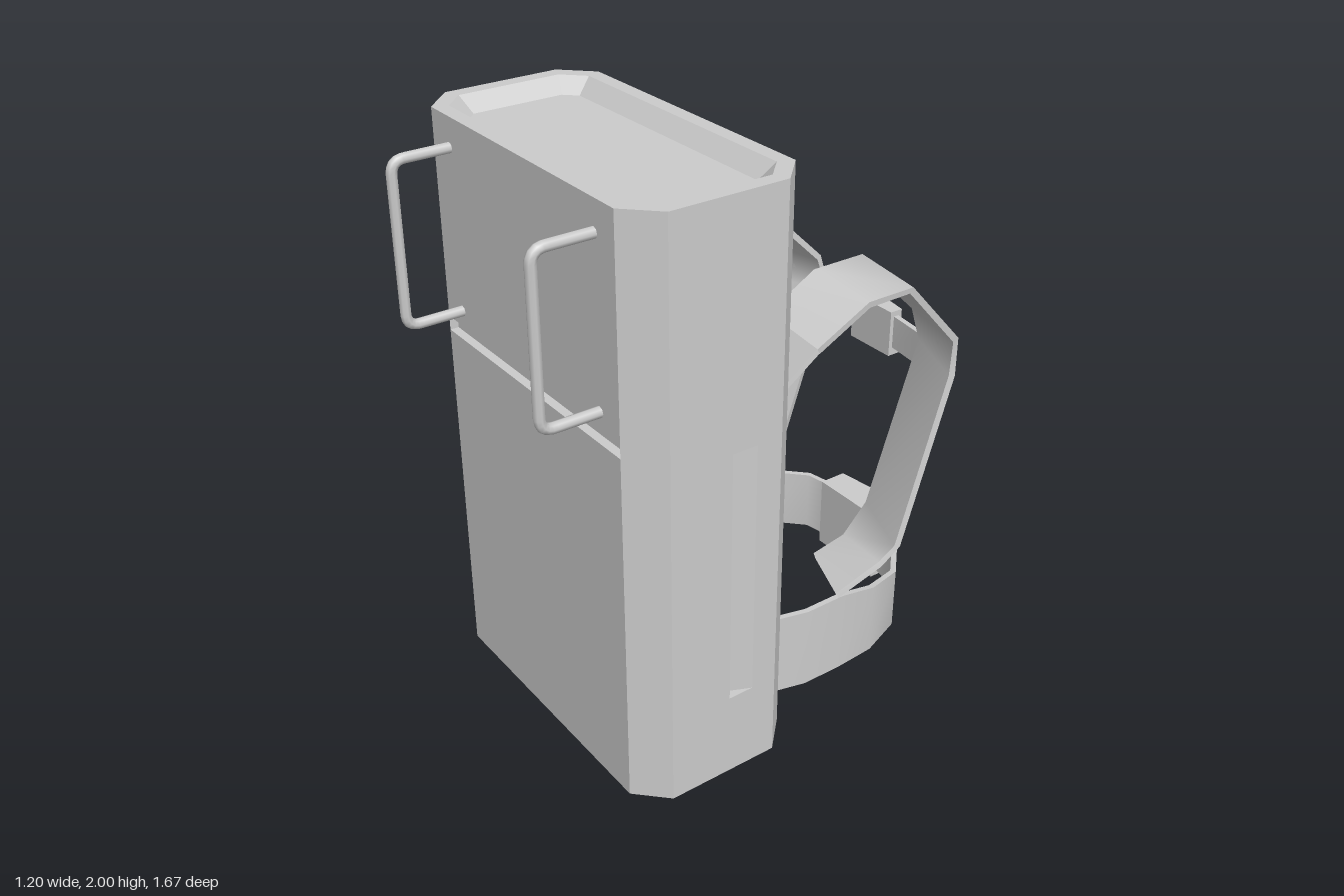
import * as THREE from 'three';

const V = (x, y, z) => new THREE.Vector3(x, y, z);
const grey = new THREE.MeshStandardMaterial({ color: 0xcccccc });
const cloth = new THREE.MeshStandardMaterial({ color: 0xcccccc, side: THREE.DoubleSide });

function named(name, geometry, material = grey) {
  const mesh = new THREE.Mesh(geometry, material);
  mesh.name = name;
  return mesh;
}

// Flat-faced geometry from a list of four-cornered faces
function fromQuads(quads) {
  const points = quads.flatMap(([a, b, c, d]) => [a, b, c, a, c, d]);
  const geometry = new THREE.BufferGeometry().setFromPoints(points);
  geometry.computeVertexNormals();
  return geometry;
}

// Octagonal outline of the case, drawn in by an even inset
function octagon(inset, y) {
  const x = 0.6 - inset, back = 0.02 + inset, front = 0.62 - inset;
  const c = 0.1 - inset * 0.586;
  return [[x, front - c], [x, back + c], [x - c, back], [c - x, back],
    [-x, back + c], [-x, front - c], [c - x, front], [x - c, front]].map(([px, pz]) => V(px, y, pz));
}

const band = (a, b) => a.map((p, i) => [p, a[(i + 1) % 8], b[(i + 1) % 8], b[i]]);
const cap = (r) => [[0, 1, 2, 3], [0, 3, 4, 7], [4, 5, 6, 7]].map((f) => f.map((i) => r[i]));

// Upright panel with a rectangular hollow; d0 and d1 are its depths at u0 and u1
function hollowPanel([a, b, , d], u0, u1, v0, v1, d0, d1) {
  const u = b.clone().sub(a), w = u.length();
  u.normalize();
  const inward = V(0, 1, 0).cross(u);
  const at = (s, t, depth = 0) => a.clone().addScaledVector(u, s).addScaledVector(inward, depth).setY(t);
  const us = [0, u0, u1, w], vs = [a.y, v0, v1, d.y], quads = [];
  for (let i = 0; i < 3; i++) for (let j = 0; j < 3; j++) {
    if ((i === 1 && j === 1) || us[i + 1] - us[i] < 1e-4) continue;
    quads.push([at(us[i], vs[j]), at(us[i + 1], vs[j]), at(us[i + 1], vs[j + 1]), at(us[i], vs[j + 1])]);
  }
  const rim = [at(u0, v0), at(u1, v0), at(u1, v1), at(u0, v1)];
  const floor = [at(u0, v0, d0), at(u1, v0, d1), at(u1, v1, d1), at(u0, v1, d0)];
  quads.push(floor);
  rim.forEach((p, i) => quads.push([p, rim[(i + 1) % 4], floor[(i + 1) % 4], floor[i]]));
  return quads;
}

function caseGeometry() {
  const rings = [octagon(0.1, 0.07), octagon(0.05, 0), octagon(0, 0),
    octagon(0, 2), octagon(0.05, 2), octagon(0.1, 1.95)];
  const walls = band(rings[2], rings[3]);
  return fromQuads([
    ...cap(rings[0]).map((q) => q.reverse()),
    ...[0, 1, 3, 4].flatMap((i) => band(rings[i], rings[i + 1])),
    ...cap(rings[5]),
    ...[1, 2, 3, 5, 7].map((i) => walls[i]),
    // Side grip slots and the front seam
    ...hollowPanel(walls[0], 0.22, 0.31, 0.3, 1.2, 0.04, 0),
    ...hollowPanel(walls[4], 0.09, 0.18, 0.3, 1.2, 0, 0.04),
    ...hollowPanel(walls[6], 0, 1, 1.25, 1.3, 0.03, 0.03),
  ]);
}

function padGeometry() {
  const rect = (x, y0, y1, z) => [V(x, y0, z), V(-x, y0, z), V(-x, y1, z), V(x, y1, z)];
  const base = rect(0.46, 0.05, 1.25, 0.02), face = rect(0.41, 0.1, 1.2, -0.03);
  return fromQuads([face, ...base.map((p, i) => [p, base[(i + 1) % 4], face[(i + 1) % 4], face[i]])]);
}

// Webbing between two edge lines, with a thickness and crisp edges
function webbing(name, A, B, thickness) {
  const group = new THREE.Group();
  group.name = name;
  const mid = A.map((p, i) => p.clone().lerp(B[i], 0.5));
  const offsets = A.map((p, i) => {
    const along = mid[Math.min(i + 1, mid.length - 1)].clone().sub(mid[Math.max(i - 1, 0)]);
    return along.cross(B[i].clone().sub(p)).normalize().multiplyScalar(thickness);
  });
  const A2 = A.map((p, i) => p.clone().add(offsets[i]));
  const B2 = B.map((p, i) => p.clone().add(offsets[i]));
  const strips = [[A, B], [B, B2], [B2, A2], [A2, A]];
  strips.forEach(([l, r], k) => {
    const geometry = new THREE.BufferGeometry().setFromPoints(l.flatMap((p, i) => [p, r[i]]));
    const index = [];
    for (let i = 0; i < l.length - 1; i++) {
      const n = i * 2;
      index.push(n, n + 1, n + 3, n, n + 3, n + 2);
    }
    geometry.setIndex(index);
    geometry.computeVertexNormals();
    group.add(named(name + (k % 2 ? 'Edge' : 'Face'), geometry, cloth));
  });
  return group;
}

// Buckle with a slightly pointed outer face
function buckle(name, halfWidth, y0, y1, inner, side, tip) {
  const shape = new THREE.Shape([[-halfWidth, inner], [halfWidth, inner], [halfWidth, side],
    [0, tip], [-halfWidth, side]].map(([x, y]) => new THREE.Vector2(x, y)));
  const geometry = new THREE.ExtrudeGeometry(shape, { depth: y1 - y0, bevelEnabled: false });
  geometry.rotateX(-Math.PI / 2).translate(0, y0, 0);
  return named(name, geometry);
}

function handle(x) {
  const z0 = 0.61, z1 = 0.815, y0 = 1.357, y1 = 1.9, r = 0.045;
  const path = new THREE.CurvePath();
  path.add(new THREE.LineCurve3(V(x, y0, z0), V(x, y0, z1 - r)));
  path.add(new THREE.QuadraticBezierCurve3(V(x, y0, z1 - r), V(x, y0, z1), V(x, y0 + r, z1)));
  path.add(new THREE.LineCurve3(V(x, y0 + r, z1), V(x, y1 - r, z1)));
  path.add(new THREE.QuadraticBezierCurve3(V(x, y1 - r, z1), V(x, y1, z1), V(x, y1, z1 - r)));
  path.add(new THREE.LineCurve3(V(x, y1, z1 - r), V(x, y1, z0)));
  return new THREE.TubeGeometry(path, 60, 0.018, 8);
}

export function createModel() {
  const model = new THREE.Group();
  model.name = 'backpack';
  model.add(named('case', caseGeometry()), named('backPad', padGeometry()));

  // Shoulder strap edges as [z, y]
  const inner = [[-0.1, 1.4], [-0.28, 1.5], [-0.48, 1.5], [-0.74, 1.25], [-0.79, 1.1],
    [-0.59, 0.51], [-0.48, 0.4], [-0.34, 0.375]];
  const outer = [[-0.09, 1.38], [-0.29, 1.48], [-0.47, 1.48], [-0.69, 1.24], [-0.69, 1.1],
    [-0.5, 0.5], [-0.42, 0.45], [-0.23, 0.4]];
  for (const s of [1, -1]) {
    const side = s > 0 ? 'left' : 'right';
    model.add(named(side + 'Handle', handle(0.4 * s)));
    model.add(webbing(side + 'ShoulderStrap',
      inner.map(([z, y]) => V(0.25 * s, y, z)), outer.map(([z, y]) => V(0.5 * s, y, z)), 0.022 * s));
  }

  // Yoke joining both shoulder straps to the case
  model.add(webbing('yoke',
    [-0.45, -0.25, 0, 0.25, 0.45].map((x) => V(x, 1.24, 0.02)),
    [V(-0.5, 1.38, -0.09), V(-0.25, 1.4, -0.1), V(0, 1.34, -0.06), V(0.25, 1.4, -0.1), V(0.5, 1.38, -0.09)],
    -0.02));

  // Hip belt as [x, z, top height], mirrored about the middle
  const half = [[0.47, 0.02, 0.4], [0.5, -0.1, 0.4], [0.5, -0.25, 0.4], [0.49, -0.4, 0.365],
    [0.43, -0.56, 0.33], [0.25, -0.735, 0.33], [0.12, -0.76, 0.33]];
  const belt = [...half, ...half.map(([x, z, y]) => [-x, z, y]).reverse()];
  model.add(webbing('hipBelt', belt.map(([x, z]) => V(x, 0.1, z)), belt.map(([x, z, y]) => V(x, y, z)), -0.02));
  model.add(buckle('hipBuckle', 0.15, 0.08, 0.35, 0.71, 0.815, 0.835));

  // Chest strap
  const chest = [[0.25, -0.785], [0.1, -0.805], [-0.1, -0.805], [-0.25, -0.785]];
  model.add(webbing('chestStrap', chest.map(([x, z]) => V(x, 1.01, z)), chest.map(([x, z]) => V(x, 1.13, z)), -0.02));
  model.add(buckle('chestBuckle', 0.1, 0.98, 1.15, 0.77, 0.82, 0.835));
  return model;
}
